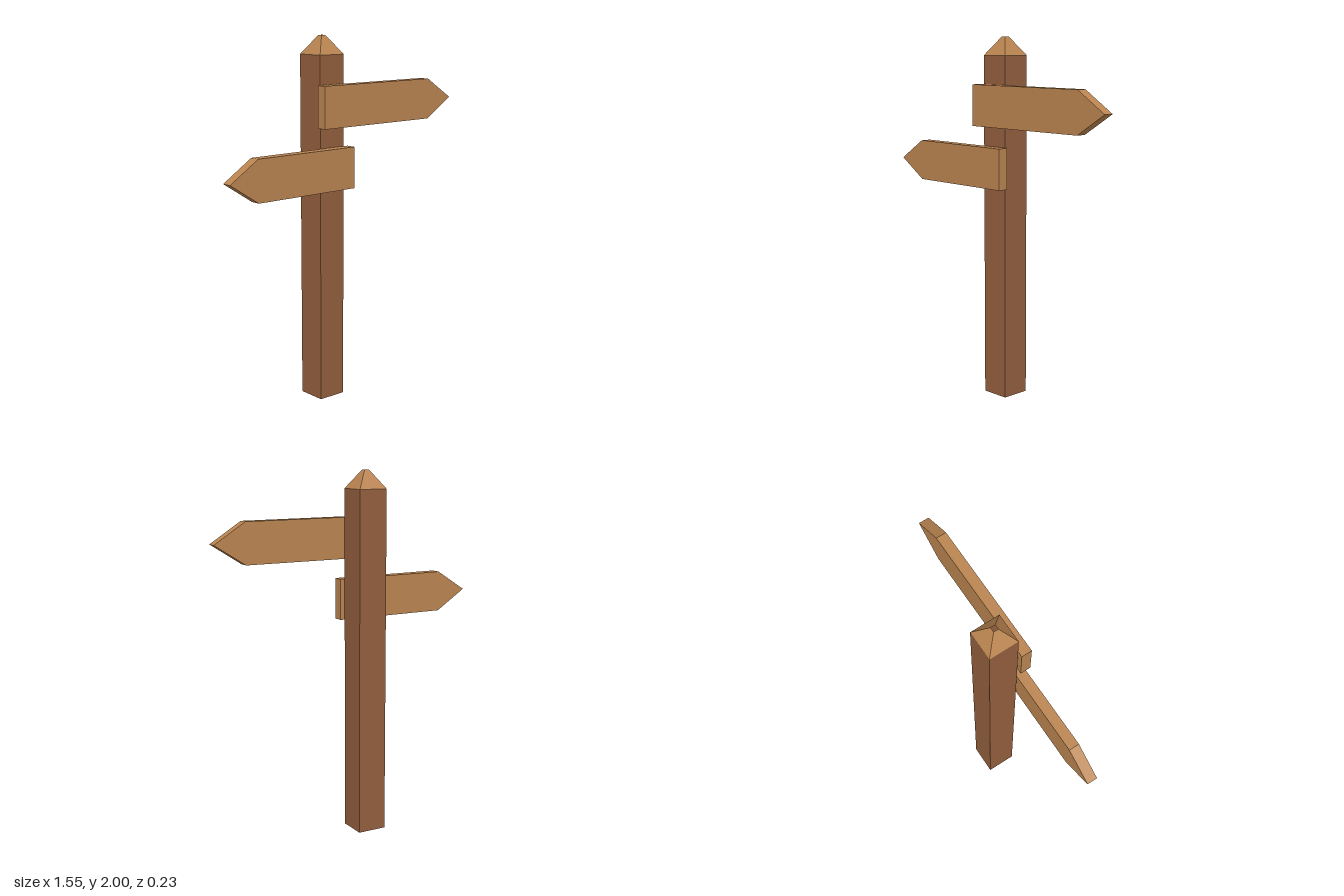
import * as THREE from 'three';

const postWood = new THREE.MeshStandardMaterial({ color: 0x935f3e });
postWood.name = 'dark wood';
postWood.flatShading = true;
postWood.side = THREE.DoubleSide; // the post and its cap are open at the ends

const boardWood = new THREE.MeshStandardMaterial({ color: 0xba8450 });
boardWood.name = 'light wood';
boardWood.flatShading = true;
boardWood.side = THREE.DoubleSide;

const POST_X = -0.061, POST_Z = -0.032, POST_HALF = 0.082;

// Open four-sided tube, square to the axes, between two heights
function squareTube(name, topHalf, bottomHalf, y0, y1, material) {
  const geometry = new THREE.CylinderGeometry(
    topHalf * Math.SQRT2, bottomHalf * Math.SQRT2, y1 - y0, 4, 1, true);
  geometry.rotateY(Math.PI / 4);
  const mesh = new THREE.Mesh(geometry, material);
  mesh.name = name;
  mesh.position.set(POST_X, (y0 + y1) / 2, POST_Z);
  return mesh;
}

// Arrow-shaped plank: square end, shoulder and pointed tip along x
function arrowBoard(name, endX, shoulderX, tipX, y0, y1) {
  const shape = new THREE.Shape();
  shape.moveTo(endX, y0);
  shape.lineTo(shoulderX, y0);
  shape.lineTo(tipX, (y0 + y1) / 2);
  shape.lineTo(shoulderX, y1);
  shape.lineTo(endX, y1);
  shape.closePath();
  const geometry = new THREE.ExtrudeGeometry(shape, { depth: 0.058, bevelEnabled: false });
  const mesh = new THREE.Mesh(geometry, boardWood);
  mesh.name = name;
  mesh.position.z = 0.057;
  return mesh;
}

export function createModel() {
  const signpost = new THREE.Group();
  signpost.name = 'signpost';
  signpost.add(
    squareTube('post', POST_HALF, POST_HALF, 0, 1.9, postWood),
    squareTube('postCap', 0.013, POST_HALF, 1.9, 2, boardWood),
    arrowBoard('upperBoard', -0.165, 0.6, 0.777, 1.52, 1.745),
    arrowBoard('lowerBoard', 0.043, -0.603, -0.777, 1.185, 1.41),
  );
  return signpost;
}
